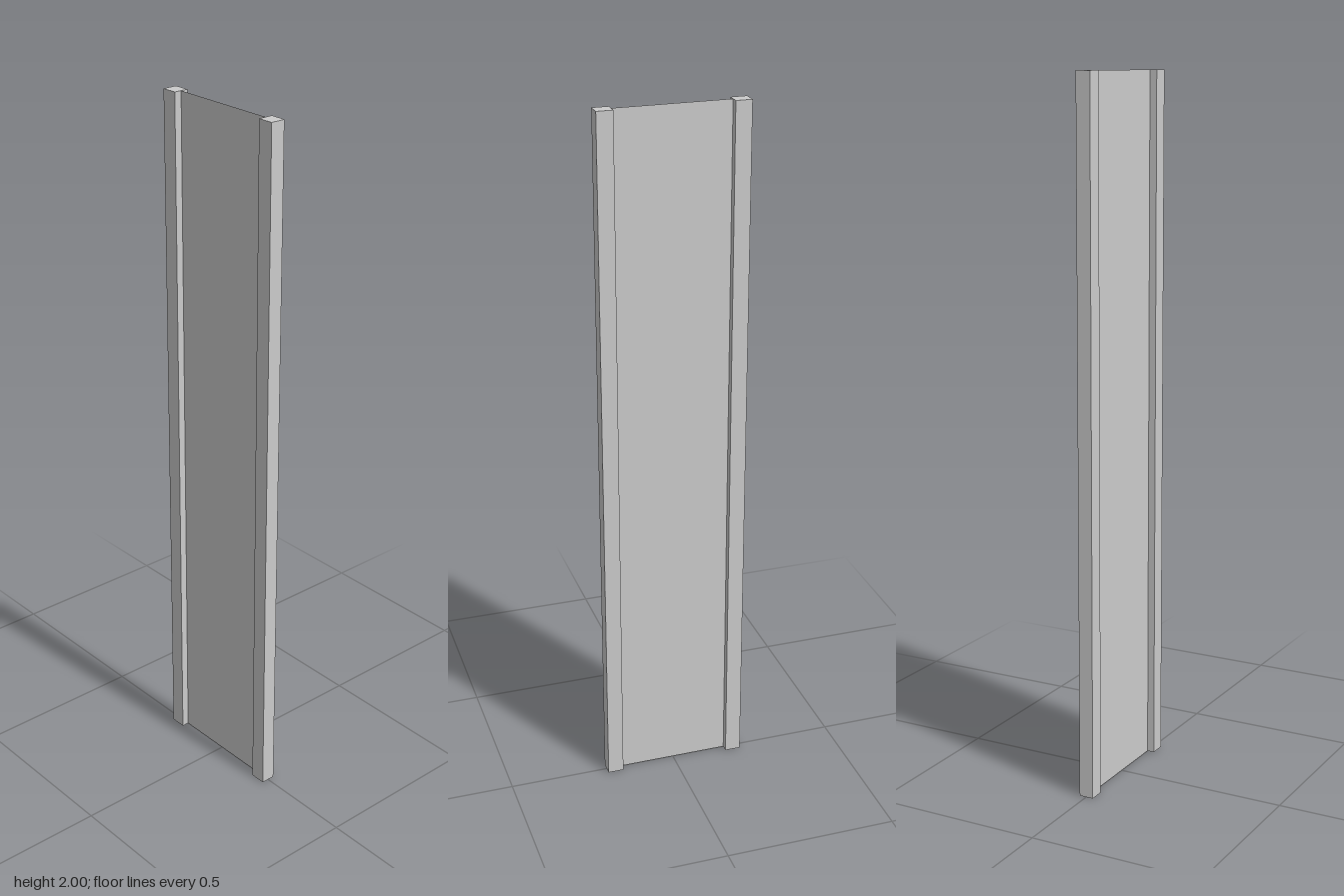
import * as THREE from 'three';

const HEIGHT = 2;
const POST_WIDTH = 0.046;
const POST_DEPTH = 0.042;
const POST_X = 0.186; // post centre line

export function createModel() {
  const model = new THREE.Group();
  model.name = 'framedPanel';

  // Square posts, mirrored on both sides
  const postMaterial = new THREE.MeshStandardMaterial({ color: 0xcccccc });
  const postGeometry = new THREE.BoxGeometry(POST_WIDTH, HEIGHT, POST_DEPTH);
  for (const [name, side] of [['leftPost', 1], ['rightPost', -1]]) {
    const post = new THREE.Mesh(postGeometry, postMaterial);
    post.name = name;
    post.position.set(side * POST_X, HEIGHT / 2, 0);
    model.add(post);
  }

  // Thin sheet spanning the gap between the posts
  const panel = new THREE.Mesh(
    new THREE.PlaneGeometry(2 * POST_X - POST_WIDTH, HEIGHT),
    new THREE.MeshStandardMaterial({ color: 0xcccccc, side: THREE.DoubleSide })
  );
  panel.name = 'panel';
  panel.position.y = HEIGHT / 2;
  model.add(panel);

  return model;
}
